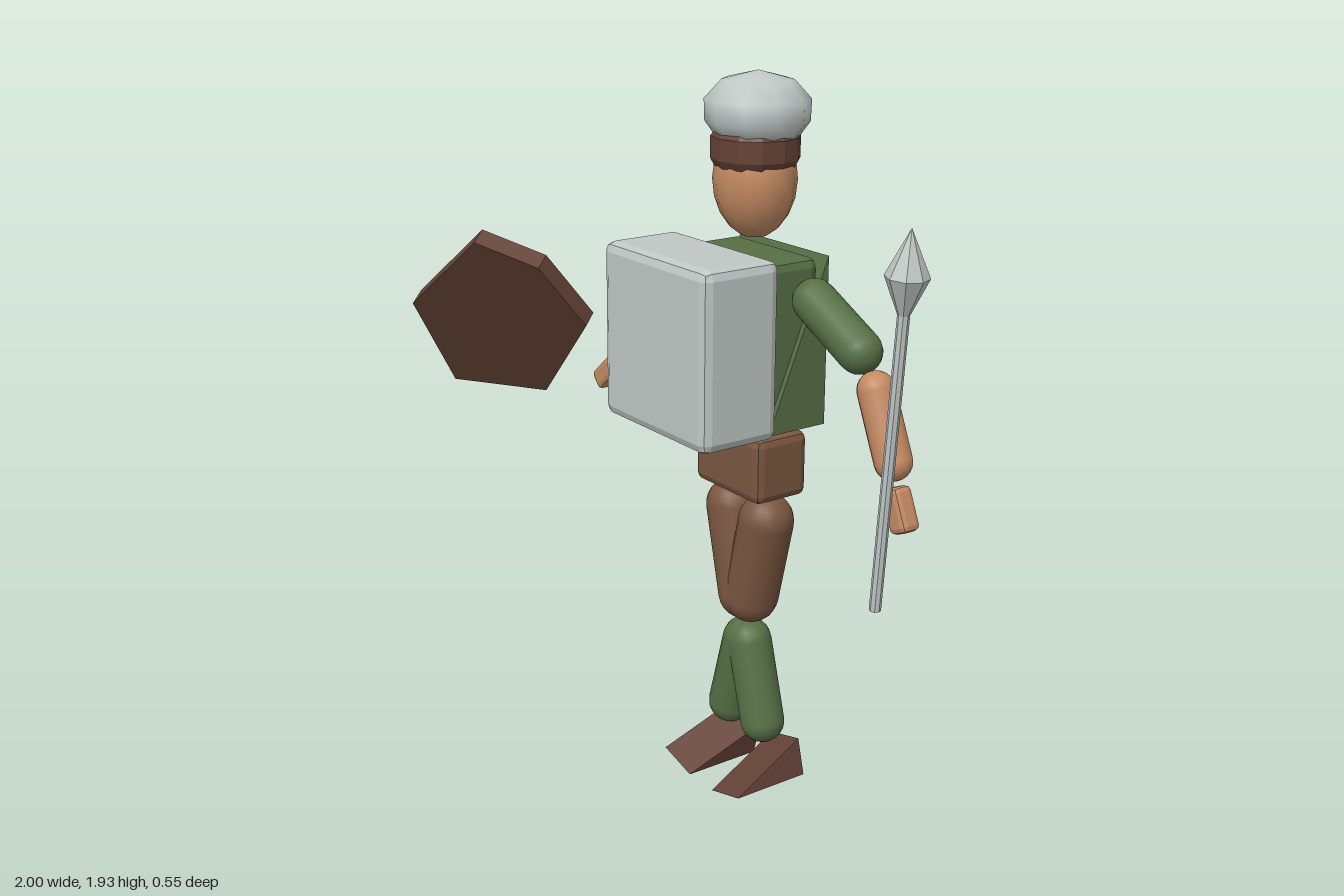
import * as THREE from 'three';
import { RoundedBoxGeometry } from 'three/addons/geometries/RoundedBoxGeometry.js';
import { ConvexGeometry } from 'three/addons/geometries/ConvexGeometry.js';

const CX = 0.18, CZ = -0.145; // centre line of the body
const mat = (color, flatShading = true) => new THREE.MeshStandardMaterial({ color, flatShading });
const V = (x, y, z = CZ) => new THREE.Vector3(x, y, z);
const SKIN = 0xc48a62, GREEN = 0x566f45, BROWN = 0x7a5640, LEATHER = 0x644236, STEEL = 0xbfc7c5;

export function createModel() {
  const model = new THREE.Group();
  const add = (name, geometry, color, pos = V(0, 0, 0), flat = true) => {
    const mesh = new THREE.Mesh(geometry, mat(color, flat));
    mesh.name = name;
    mesh.position.copy(pos);
    model.add(mesh);
    return mesh;
  };
  const block = (name, w, h, d, bevel, pos, color) =>
    add(name, new RoundedBoxGeometry(w, h, d, 1, bevel), color, pos);
  // turn a part so its y axis runs from a to b
  const aim = (mesh, a, b) => {
    mesh.quaternion.setFromUnitVectors(V(0, 1, 0), b.clone().sub(a).normalize());
    return mesh;
  };
  const limb = (name, a, b, r, color) =>
    aim(add(name, new THREE.CapsuleGeometry(r, a.distanceTo(b), 6, 16), color,
      a.clone().lerp(b, 0.5), false), a, b);
  // right-angled wedge, tall at the back and running to an edge at the front
  const wedge = (w, h, d) => {
    const s = new THREE.Shape([[-d / 2, -h / 2], [d / 2, -h / 2], [-d / 2, h / 2]]
      .map(([z, y]) => new THREE.Vector2(z, y)));
    return new THREE.ExtrudeGeometry(s, { depth: w, bevelEnabled: false })
      .translate(0, 0, -w / 2).rotateY(-Math.PI / 2);
  };
  const lathe = (points, sides) =>
    new THREE.LatheGeometry(points.map(([r, y]) => new THREE.Vector2(r, y)), sides);

  // head, headband and domed helmet
  add('head', new THREE.SphereGeometry(1, 14, 10).scale(0.113, 0.15, 0.104), SKIN, V(CX, 1.667), false);
  add('headband', lathe([[0, 1.70], [0.105, 1.70], [0.117, 1.72], [0.117, 1.775], [0.105, 1.79], [0, 1.79]], 12),
    LEATHER, V(CX, 0)).scale.z = 0.96;
  add('helmet', lathe([[0, 1.775], [0.112, 1.775], [0.138, 1.81], [0.14, 1.865], [0.095, 1.912], [0, 1.935]], 10),
    STEEL, V(CX, 0, -0.15), false).scale.z = 0.93;

  // trunk
  block('chest', 0.33, 0.43, 0.16, 0.025, V(CX, 1.272), GREEN);
  add('backPanel', wedge(0.36, 0.44, 0.18), GREEN, V(CX, 1.27, -0.152));
  block('chestPlate', 0.44, 0.46, 0.23, 0.026, V(CX, 1.28, 0.055), STEEL);
  block('hips', 0.275, 0.178, 0.165, 0.022, V(CX, 0.933), BROWN);

  // legs and wedge feet
  for (const [side, s] of [['right', -1], ['left', 1]]) {
    limb(side + 'Thigh', V(CX + s * 0.072, 0.772), V(CX + s * 0.014, 0.535), 0.074, BROWN);
    limb(side + 'Shin', V(CX + s * 0.01, 0.4), V(CX + s * 0.072, 0.182), 0.061, GREEN);
    add(side + 'Foot', wedge(0.122, 0.102, 0.225), LEATHER, V(CX + s * 0.098, 0.069, -0.103))
      .rotation.z = s * 0.26;
  }

  // arms: shoulder, two elbow ends, wrist and hand centre
  const arms = {
    right: [V(-0.05, 1.395), V(-0.2, 1.26), V(-0.275, 1.19), V(-0.415, 1.07), V(-0.495, 0.995)],
    left: [V(0.425, 1.403), V(0.597, 1.315), V(0.66, 1.235), V(0.73, 1.075), V(0.762, 0.963)],
  };
  for (const [side, [shoulder, elbow, forearm, wrist, hand]] of Object.entries(arms)) {
    limb(side + 'UpperArm', shoulder, elbow, 0.056, GREEN);
    limb(side + 'Forearm', forearm, wrist, 0.047, SKIN);
    aim(block(side + 'Hand', 0.06, 0.112, 0.055, 0.014, hand, SKIN), forearm, wrist);
  }

  // spear: thin shaft with a faceted diamond point
  const butt = V(0.89, 0.8, 0.04), tip = V(0.955, 1.7, 0.04);
  const spear = lathe([[0, 0], [0.014, 0], [0.014, 0.71], [0.05, 0.795], [0, 0.902]], 8);
  aim(add('spear', spear, STEEL, butt), butt, tip);

  // six-sided shield, tilted, with its back face offset forward by the thickness
  const back = [V(-1, 0.925, 0.07), V(-0.945, 1.2, 0.23), V(-0.61, 1.44, 0.2),
    V(-0.475, 1.376, 0.075), V(-0.455, 1.194, -0.065), V(-0.725, 0.93, -0.09)];
  const thickness = V(0.024, -0.028, 0.04);
  add('shield', new ConvexGeometry([...back, ...back.map((p) => p.clone().add(thickness))]), LEATHER);

  return model;
}
